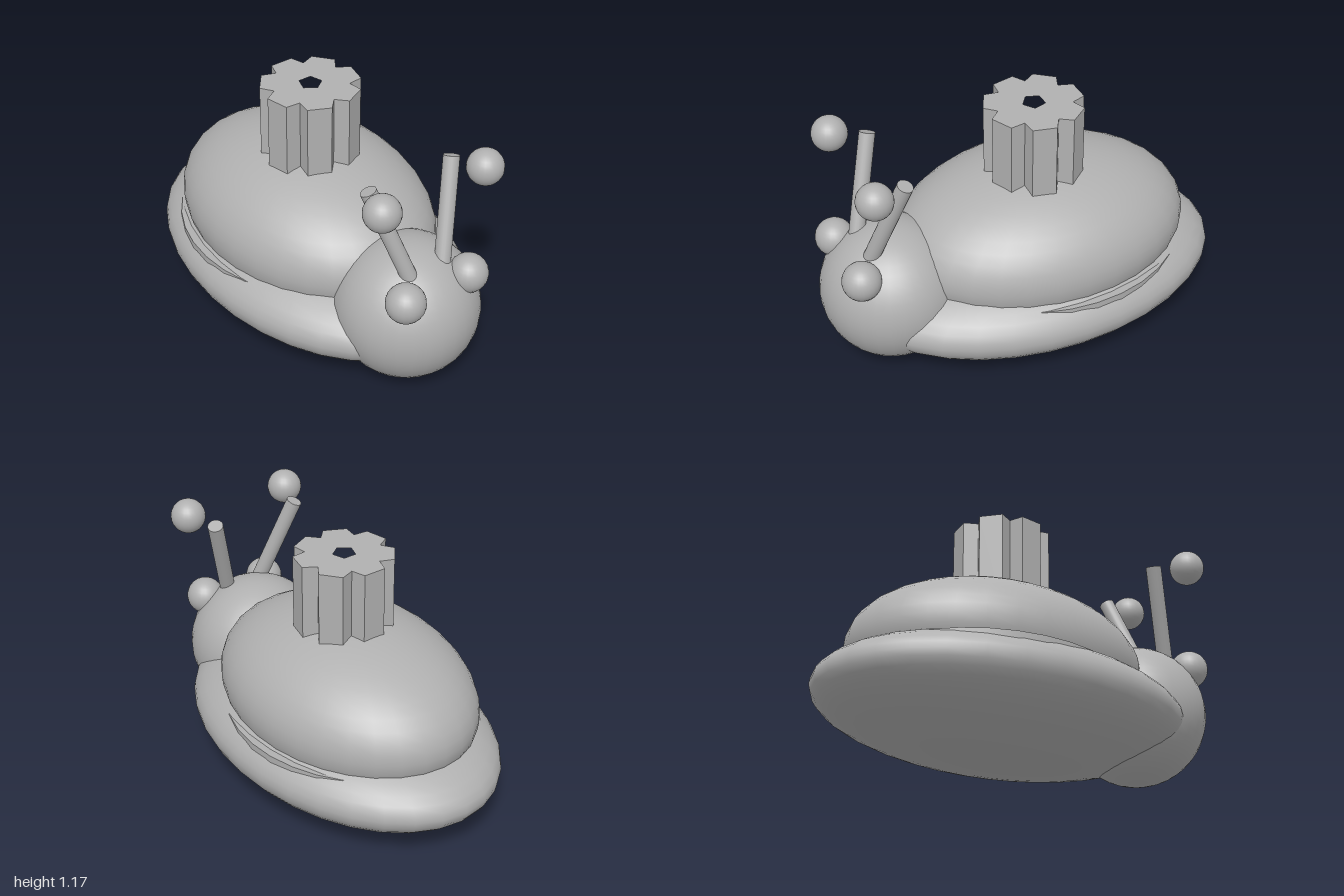
import * as THREE from 'three';

export function createModel() {
  const model = new THREE.Group();
  const grey = new THREE.MeshStandardMaterial({ color: 0xb0b0b0 });
  grey.name = 'plain grey';

  const add = (name, geometry, x, y, z) => {
    const mesh = new THREE.Mesh(geometry, grey);
    mesh.name = name;
    mesh.position.set(x, y, z);
    model.add(mesh);
    return mesh;
  };
  const ellipsoid = (rx, ry, rz) => new THREE.SphereGeometry(1, 32, 24).scale(rx, ry, rz);

  // Flat oval body, domed shell and round head
  add('body', ellipsoid(0.615, 0.262, 0.93), 0, 0.264, -0.07);
  add('shell', ellipsoid(0.537, 0.37, 0.735), 0, 0.48, -0.11);
  add('head', ellipsoid(0.343, 0.343, 0.343), 0, 0.358, 0.655);

  // Rim plate that peeks out between shell and body
  add('shellRim', new THREE.CylinderGeometry(1, 1, 0.08, 32).scale(0.57, 1, 0.67), 0, 0.35, -0.14);

  // Seven-toothed chimney with a small five-sided bore
  const outline = [];
  const polar = (r, a) => new THREE.Vector2(r * Math.sin(a), r * Math.cos(a));
  for (let i = 0; i < 7; i++) {
    const a = (i / 7) * Math.PI * 2;
    outline.push(polar(0.237, a - 0.24), polar(0.237, a + 0.24), polar(0.18, a + Math.PI / 7));
  }
  const chimneyShape = new THREE.Shape(outline);
  const bore = [];
  for (let i = 0; i < 5; i++) bore.push(polar(0.055, Math.PI + (i / 5) * Math.PI * 2));
  chimneyShape.holes.push(new THREE.Path(bore));
  const chimney = new THREE.ExtrudeGeometry(chimneyShape, { depth: 0.475, bevelEnabled: false });
  chimney.rotateX(-Math.PI / 2);
  add('chimney', chimney, 0, 0.7, -0.08);

  // Eyes, feeler stalks and feeler balls, mirrored
  for (const [side, s] of [['left', 1], ['right', -1]]) {
    add(side + 'Eye', new THREE.SphereGeometry(0.092, 24, 16), s * 0.18, 0.583, 0.862);
    add(side + 'FeelerBall', new THREE.SphereGeometry(0.085, 24, 16), s * 0.285, 1.086, 0.81);

    const foot = new THREE.Vector3(s * 0.053, 0.5, 0.82);
    const tip = new THREE.Vector3(s * 0.232, 1.08, 0.648);
    const along = tip.clone().sub(foot);
    const middle = foot.clone().add(tip).multiplyScalar(0.5);
    const stalk = add(side + 'FeelerStalk',
      new THREE.CylinderGeometry(0.038, 0.038, along.length(), 20), middle.x, middle.y, middle.z);
    stalk.quaternion.setFromUnitVectors(new THREE.Vector3(0, 1, 0), along.normalize());
  }

  return model;
}
